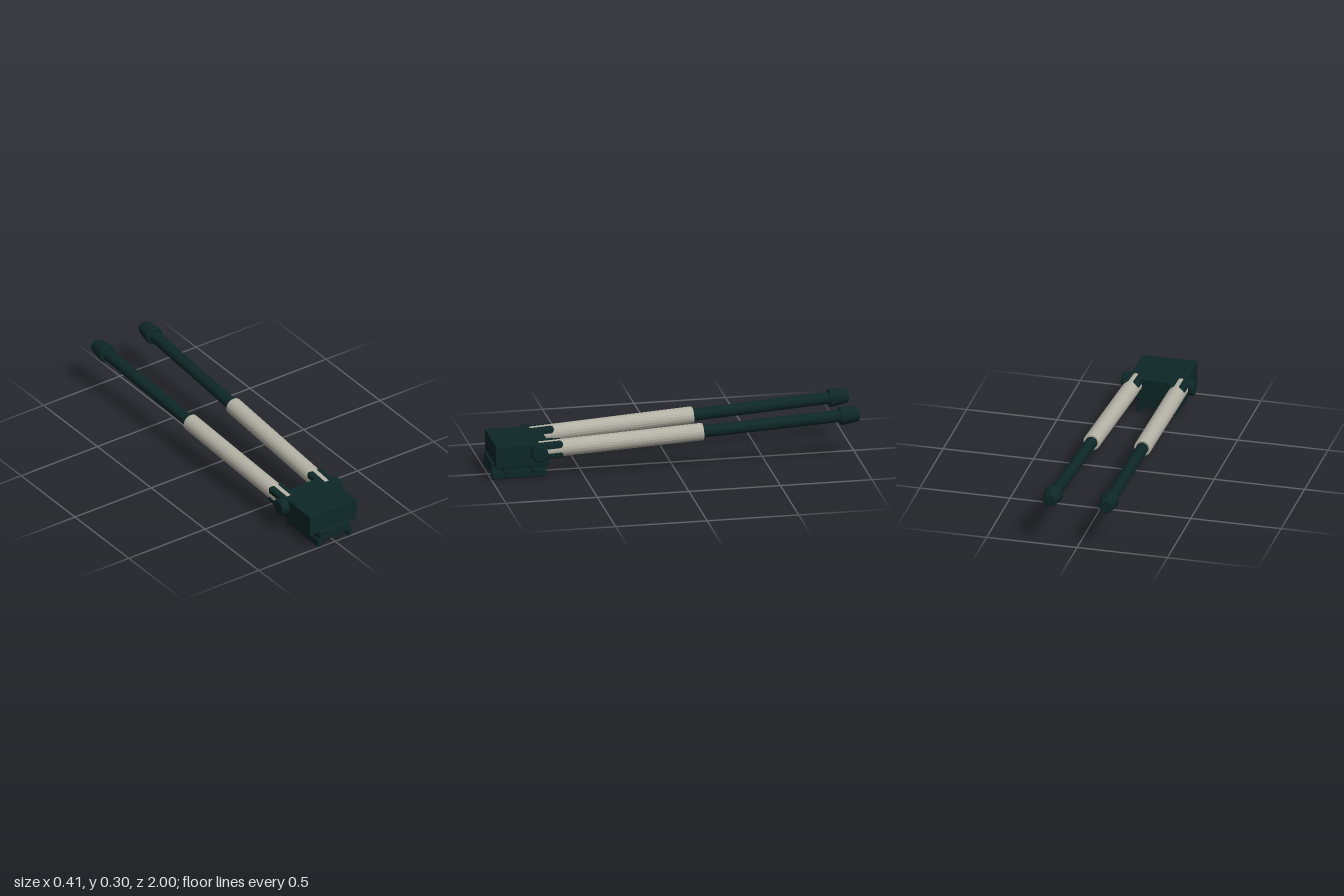
import * as THREE from 'three';
import { RoundedBoxGeometry } from 'three/addons/geometries/RoundedBoxGeometry.js';

const dark = new THREE.MeshStandardMaterial({ color: 0x0e2727, flatShading: true });
dark.name = 'dark green metal';
const grey = new THREE.MeshStandardMaterial({ color: 0xb5b2a6, flatShading: true });
grey.name = 'bare grey metal';

function add(parent, name, geometry, material, x = 0, y = 0, z = 0) {
  const mesh = new THREE.Mesh(geometry, material);
  mesh.name = name;
  mesh.position.set(x, y, z);
  parent.add(mesh);
  return mesh;
}

// Box with chamfered edges
const chamferBox = (w, h, d, c) => new RoundedBoxGeometry(w, h, d, 1, c);

// Closed turned shape along +y, from [radius, height] pairs
const turned = (points, sides) =>
  new THREE.LatheGeometry(points.map(([r, h]) => new THREE.Vector2(r, h)), sides);

// Disc of given length with chamfered rims, lying along x
function knob(radius, length, c, sides) {
  const h = length / 2;
  return turned([[0, -h], [radius - c, -h], [radius, -h + c], [radius, h - c], [radius - c, h], [0, h]], sides)
    .rotateZ(Math.PI / 2);
}

function makeLeg(side) {
  const leg = new THREE.Group();
  leg.name = side > 0 ? 'leftLeg' : 'rightLeg';
  const pivot = new THREE.Vector3(side * 0.125, 0.159, 0.75);
  const tip = new THREE.Vector3(side * 0.156, 0.259, -0.998);
  const length = pivot.distanceTo(tip);
  leg.position.copy(pivot);
  leg.lookAt(tip); // local +z runs down the leg

  // Hinge block whose corners stand out around the tube
  add(leg, 'hingeBlock', chamferBox(0.09, 0.09, 0.155, 0.012), dark, 0, 0, 0.055);

  // Outer tube, with a slightly chamfered mouth
  add(leg, 'outerTube', turned([[0, 0.005], [0.047, 0.005], [0.047, 0.895], [0.043, 0.9], [0, 0.9]], 20)
    .rotateX(Math.PI / 2), grey);

  // Sliding inner tube
  add(leg, 'innerTube', new THREE.CylinderGeometry(0.033, 0.033, 0.78, 20)
    .rotateX(Math.PI / 2), dark, 0, 0, 1.27);

  // Tapered foot
  add(leg, 'foot', turned([[0, length - 0.107], [0.046, length - 0.107], [0.051, length - 0.098],
    [0.039, length - 0.01], [0.033, length], [0, length]], 20).rotateX(Math.PI / 2), dark);
  return leg;
}

export function createModel() {
  const model = new THREE.Group();
  model.name = 'foldedBipod';

  // Mount body and the clamp beneath it
  add(model, 'mountBody', chamferBox(0.308, 0.124, 0.295, 0.005), dark, 0, 0.141, 0.838);
  add(model, 'clampBlock', chamferBox(0.2, 0.061, 0.3, 0.006), dark, 0, 0.063, 0.85);

  for (const side of [1, -1]) {
    add(model, 'clampJaw', chamferBox(0.025, 0.047, 0.3, 0.008), dark, side * 0.0985, 0.0235, 0.85);
    add(model, 'hingeCap', knob(0.046, 0.06, 0.007, 20), dark, side * 0.17, 0.158, 0.752);
    model.add(makeLeg(side));
  }

  // Clamp screws on the left side only
  for (const z of [0.925, 0.773]) {
    add(model, 'clampScrew', knob(0.022, 0.05, 0.006, 12), dark, 0.105, 0.059, z);
  }
  return model;
}
